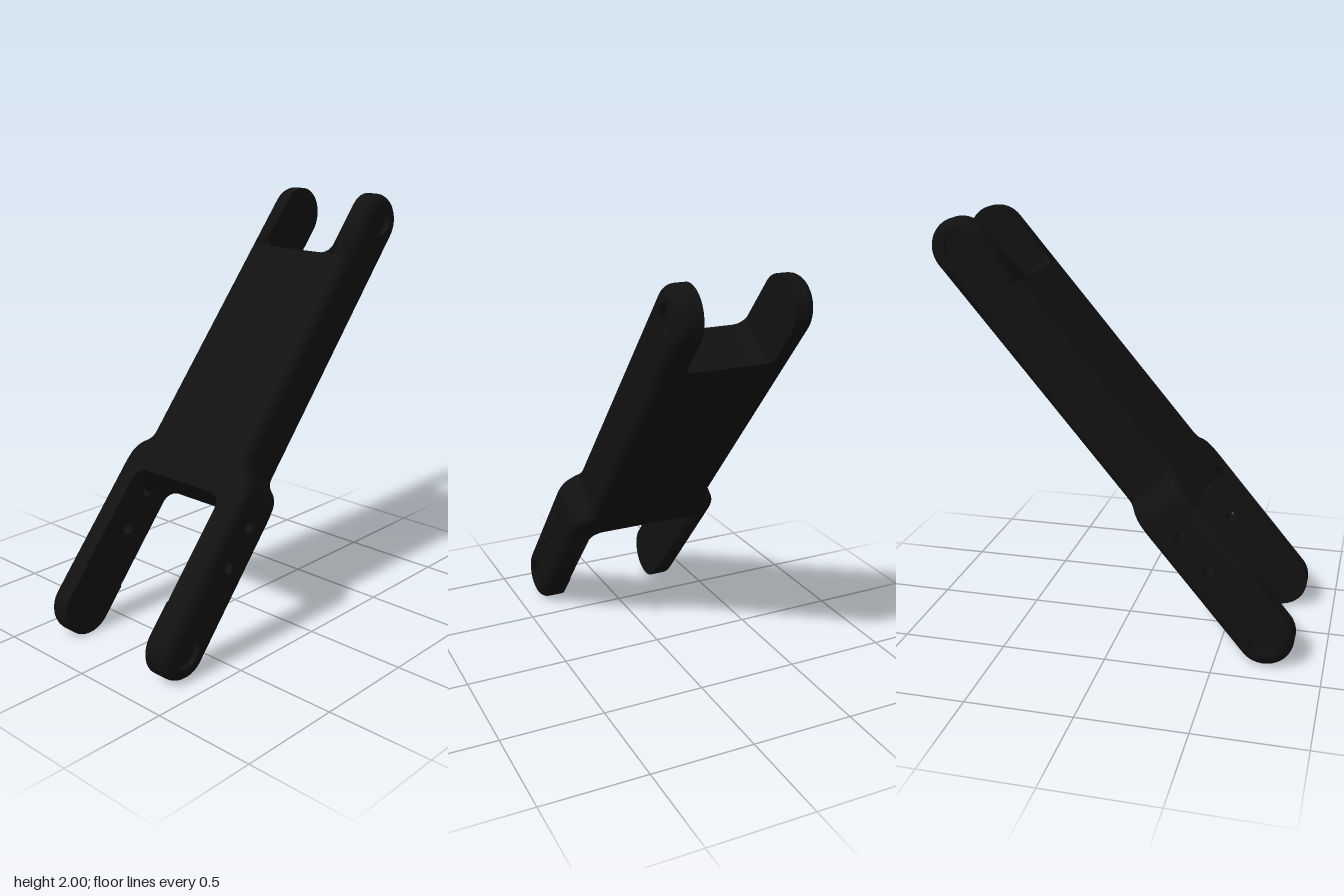
import * as THREE from 'three';

const R = 0.135;        // half thickness and end radius
const PIVOT = 1.13;     // pivot distance from the middle
const EDGE = 0.05;      // rounding of the outer edges
const LOW = -0.447, HIGH = 0.845; // ends of the solid plate
const X = new THREE.Vector3(1, 0, 0), Y = new THREE.Vector3(0, 1, 0), Z = new THREE.Vector3(0, 0, 1);
const ACROSS = new THREE.Matrix4().makeBasis(Y, Z, X); // (along, thickness, across)
const ALONG = new THREE.Matrix4().makeBasis(Z, X, Y);  // (thickness, across, along)
const material = new THREE.MeshStandardMaterial({ color: 0x111111, side: THREE.DoubleSide });

function add(parent, name, geometry, matrix) {
  if (matrix) geometry.applyMatrix4(matrix);
  const mesh = new THREE.Mesh(geometry, material);
  mesh.name = name;
  parent.add(mesh);
  return mesh;
}

// Skin over rings { points, c }, each a closed loop at height c
function loft(rings) {
  const n = rings[0].points.length, pos = [], index = [];
  rings.forEach(({ points, c }) => points.forEach(p => pos.push(p.x, p.y, c)));
  for (let i = 0; i < rings.length - 1; i++) {
    for (let j = 0; j < n; j++) {
      const k = (j + 1) % n, a = i * n + j, b = i * n + k;
      index.push(a, b, b + n, a, b + n, a + n);
    }
  }
  const g = new THREE.BufferGeometry();
  g.setAttribute('position', new THREE.Float32BufferAttribute(pos, 3));
  g.setIndex(index);
  g.computeVertexNormals();
  return g;
}

// Flat face with round holes [along, radius]
function face(points, c, holes = []) {
  const shape = new THREE.Shape(points);
  for (const [u, r] of holes) shape.holes.push(new THREE.Path().absarc(u, 0, r, 0, Math.PI * 2, true));
  return new THREE.ShapeGeometry(shape, 24).translate(0, 0, c);
}

// Side profile of an arm: straight start, round end; s = 1 up, -1 down
function armProfile(start, s, r) {
  const t0 = -s * Math.PI / 2, pts = [new THREE.Vector2(start, -s * r)];
  for (let i = 0; i <= 28; i++) {
    const t = t0 + Math.PI * i / 28;
    pts.push(new THREE.Vector2(s * PIVOT + r * Math.cos(t), r * Math.sin(t)));
  }
  pts.push(new THREE.Vector2(start, s * r));
  return pts;
}

// Arm with rounded outer edge, through holes and a shallow outer pivot recess
function arm(parent, name, start, s, xIn, xOut, through, recess) {
  const g = new THREE.Group();
  g.name = name;
  parent.add(g);
  const rings = [{ points: armProfile(start, s, R), c: xIn }];
  for (let i = 0; i <= 6; i++) {
    const t = Math.PI / 2 * i / 6;
    rings.push({
      points: armProfile(start, s, R - EDGE * (1 - Math.cos(t))),
      c: xOut - EDGE * (1 - Math.sin(t)),
    });
  }
  add(g, 'armRim', loft(rings), ACROSS);
  add(g, 'armInnerFace', face(armProfile(start, s, R), xIn, through), ACROSS);
  add(g, 'armOuterFace', face(armProfile(start, s, R - EDGE), xOut, [...through, [s * PIVOT, recess]]), ACROSS);
  const bore = (label, u, r, x0, x1) => add(g, label,
    new THREE.CylinderGeometry(r, r, x1 - x0, 24, 1, true).rotateZ(Math.PI / 2).translate((x0 + x1) / 2, u, 0));
  for (const [u, r] of through) bore('pinHole', u, r, xIn, xOut);
  bore('pivotRecess', s * PIVOT, recess, xOut - 0.03, xOut);
  add(g, 'pivotRecessFloor', new THREE.CircleGeometry(recess, 32).translate(s * PIVOT, 0, xOut - 0.03), ACROSS);
}

// Concave corner filler between an arm and the plate
function fillet(parent, x, u, s, r, z0, z1) {
  const shape = new THREE.Shape();
  shape.moveTo(x, u);
  shape.lineTo(x, u + s * r);
  shape.absarc(x - r, u + s * r, r, 0, -s * Math.PI / 2, s > 0);
  shape.closePath();
  add(parent, 'slotCorner',
    new THREE.ExtrudeGeometry(shape, { depth: z1 - z0, bevelEnabled: false, curveSegments: 10 }).translate(0, 0, z0));
}

// Rounded rectangle cross-section of the plate
function plateSection(half) {
  const pts = [];
  [[1, 1], [-1, 1], [-1, -1], [1, -1]].forEach(([sa, sb], q) => {
    for (let i = 0; i <= 6; i++) {
      const t = (q + i / 6) * Math.PI / 2;
      pts.push(new THREE.Vector2(sa * (R - EDGE) + EDGE * Math.cos(t), sb * (half - EDGE) + EDGE * Math.sin(t)));
    }
  });
  return pts;
}

export function createModel() {
  const model = new THREE.Group();
  model.name = 'forkedLink';
  const link = new THREE.Group();
  link.name = 'tiltedLink';
  link.rotation.x = -0.6994;
  link.position.y = 1;
  model.add(link);

  // Plate with a curved shoulder where it widens
  const shoulder = new THREE.CatmullRomCurve3([
    [0.395, -0.42], [0.386, -0.36], [0.36, -0.318], [0.328, -0.292], [0.309, -0.265], [0.305, -0.235],
  ].map(([h, u]) => new THREE.Vector3(h, u, 0))).getPoints(20);
  const rings = [{ h: 0.395, u: LOW }, ...shoulder.map(p => ({ h: p.x, u: p.y })), { h: 0.305, u: HIGH }]
    .map(({ h, u }) => ({ points: plateSection(h), c: u }));
  add(link, 'plate', loft(rings), ALONG);
  add(link, 'lowerSlotEnd', face(plateSection(0.395), LOW), ALONG);
  add(link, 'upperSlotEnd', face(plateSection(0.305), HIGH), ALONG);

  // Scooped lip at the back of the upper slot
  const lip = new THREE.Shape();
  lip.moveTo(HIGH, -R);
  lip.lineTo(0.927, -R);
  lip.quadraticCurveTo(0.86, -0.12, HIGH, -0.082);
  lip.closePath();
  add(link, 'scoopLip',
    new THREE.ExtrudeGeometry(lip, { depth: 0.41, bevelEnabled: false, curveSegments: 10 }).translate(0, 0, -0.205), ACROSS);

  // Fork arms on both sides
  for (const side of [1, -1]) {
    const half = new THREE.Group();
    half.name = side > 0 ? 'leftArms' : 'rightArms';
    half.scale.x = side;
    link.add(half);
    arm(half, 'upperArm', HIGH, 1, 0.205, 0.305, [], 0.062);
    arm(half, 'lowerArm', LOW, -1, 0.275, 0.395, [[-0.514, 0.028], [-0.718, 0.028]], 0.07);
    add(half, 'innerPad', new THREE.ExtrudeGeometry(new THREE.Shape(armProfile(-0.97, -1, R)),
      { depth: 0.005, bevelEnabled: false }).translate(0, 0, 0.27), ACROSS);
    fillet(half, 0.205, HIGH, 1, 0.055, -R, R);
    fillet(half, 0.205, 0.92, 1, 0.045, -R, -0.125);
    fillet(half, 0.275, LOW, -1, 0.065, -R, R);
  }
  return model;
}
